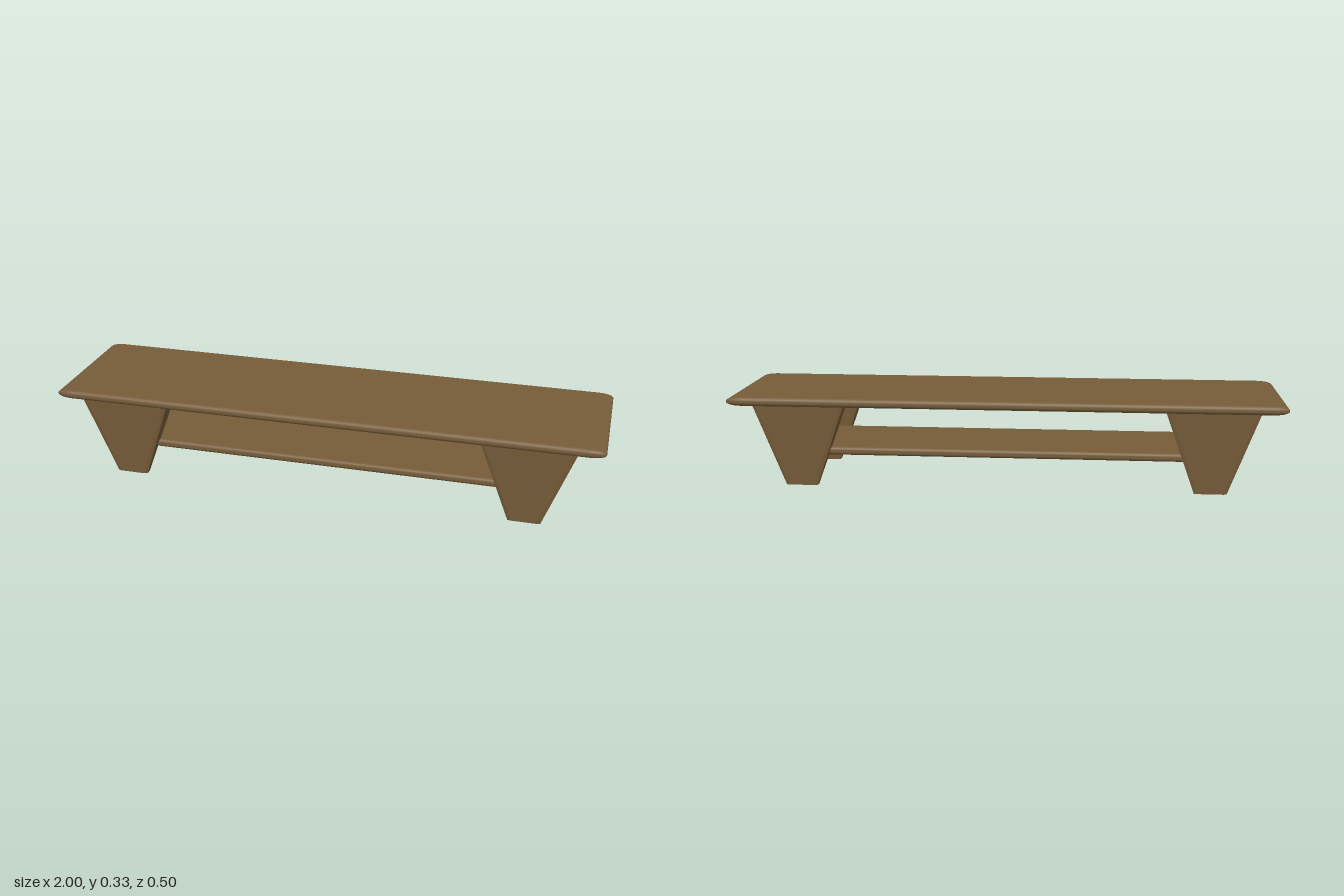
import * as THREE from 'three';
import { RoundedBoxGeometry } from 'three/addons/geometries/RoundedBoxGeometry.js';

const wood = new THREE.MeshStandardMaterial({ color: 0x775d3a });
const legWood = new THREE.MeshStandardMaterial({ color: 0x775d3a, flatShading: true });

// Soft-edged board whose rounding is stretched along its length
function board(name, length, height, depth, radius, y) {
  const stretch = 4;
  const geometry = new RoundedBoxGeometry(length / stretch, height, depth, 4, radius);
  geometry.scale(stretch, 1, 1);
  const mesh = new THREE.Mesh(geometry, wood);
  mesh.name = name;
  mesh.position.y = y;
  return mesh;
}

// Rectangular outline with small corner chamfers, counter-clockwise seen from above
function outline(hx, hz, y) {
  const cx = 0.012, cz = 0.003;
  return [
    [hx, hz - cz], [hx, -hz + cz], [hx - cx, -hz], [-hx + cx, -hz],
    [-hx, -hz + cz], [-hx, hz - cz], [-hx + cx, hz], [hx - cx, hz],
  ].map(([x, z]) => [x, y, z]);
}

// Leg tapering towards the floor in both directions
function legGeometry() {
  const bottom = outline(0.058, 0.014, 0);
  const top = outline(0.166, 0.041, 0.302);
  const n = bottom.length;
  const positions = [];
  for (let i = 0; i < n; i++) {
    const j = (i + 1) % n;
    positions.push(...bottom[i], ...bottom[j], ...top[j]);
    positions.push(...bottom[i], ...top[j], ...top[i]);
    positions.push(0, 0, 0, ...bottom[j], ...bottom[i]);
    positions.push(0, 0.302, 0, ...top[i], ...top[j]);
  }
  const geometry = new THREE.BufferGeometry();
  geometry.setAttribute('position', new THREE.Float32BufferAttribute(positions, 3));
  geometry.computeVertexNormals();
  return geometry;
}

export function createModel() {
  const model = new THREE.Group();
  model.name = 'coffeeTable';

  // Table top and lower shelf
  model.add(board('tableTop', 2, 0.032, 0.5, 0.0145, 0.317));
  model.add(board('shelf', 1.47, 0.03, 0.36, 0.012, 0.125));

  // Four legs
  const geometry = legGeometry();
  for (const [side, x] of [['Left', 0.742], ['Right', -0.742]]) {
    for (const [end, z] of [['front', 0.188], ['back', -0.186]]) {
      const leg = new THREE.Mesh(geometry, legWood);
      leg.name = `${end}${side}Leg`;
      leg.position.set(x, 0, z);
      model.add(leg);
    }
  }
  return model;
}
